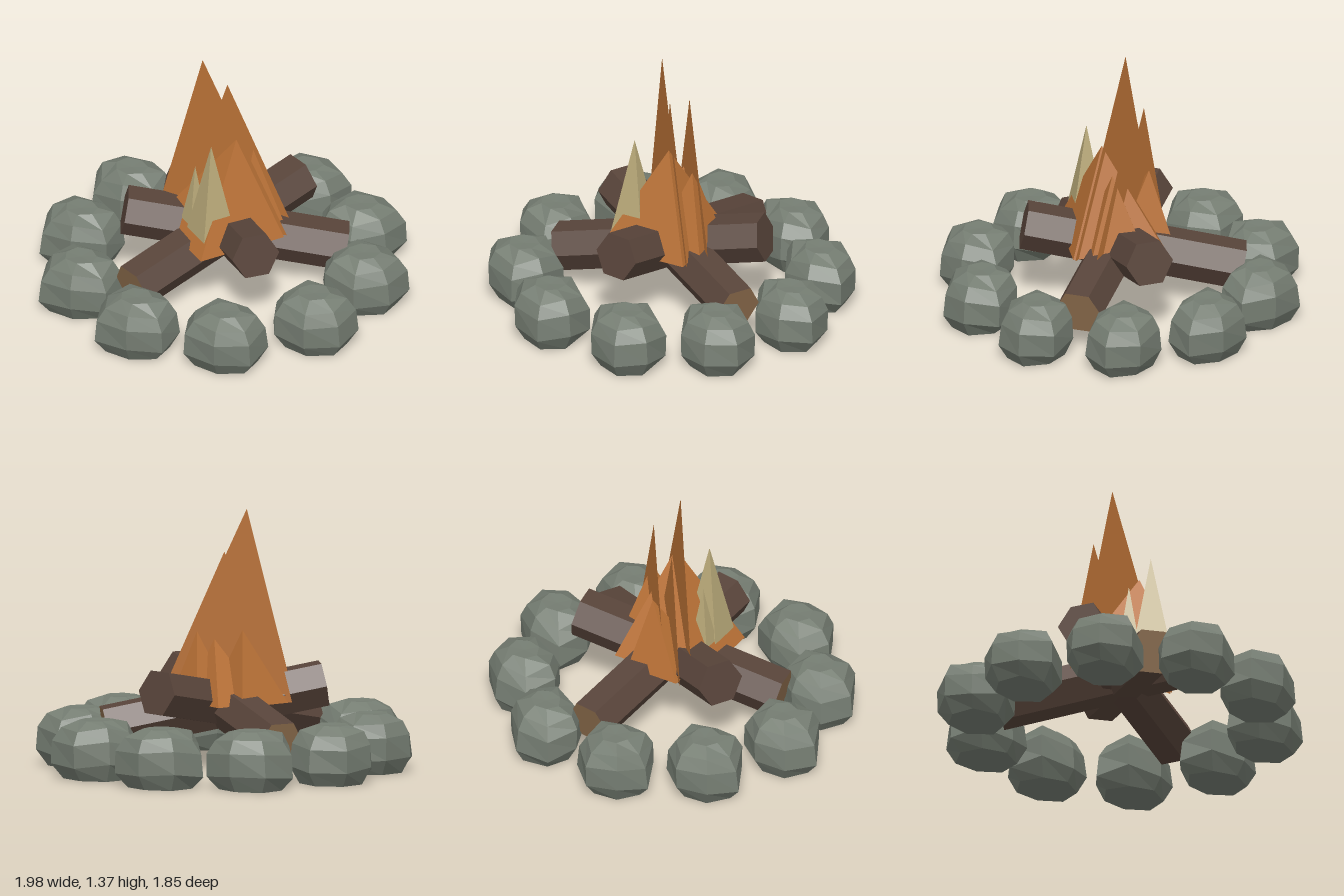
import * as THREE from 'three';

const material = (color) =>
  new THREE.MeshStandardMaterial({ color, flatShading: true, side: THREE.DoubleSide });

const stoneMat = material(0x757d72);
const barkMat = material(0x58443a);
const cutMat = material(0x8c6c4c);
const flameMat = material(0xb87035);
const paleMat = material(0xb8a878);

const FLAME_BASE = 0.36;

function named(geometry, mat, name) {
  const mesh = new THREE.Mesh(geometry, mat);
  mesh.name = name;
  return mesh;
}

// Rounded seven-sided stone with a flat underside and uneven rings
function stone(seed) {
  const profile = [[0, 0], [0.17, 0], [0.228, 0.08], [0.222, 0.2], [0.18, 0.27], [0.09, 0.31], [0, 0.305]];
  const geo = new THREE.LatheGeometry(profile.map(([r, y]) => new THREE.Vector2(r, y)), 7);
  const pos = geo.attributes.position;
  for (let i = 0; i < pos.count; i++) {
    const x = pos.getX(i), y = pos.getY(i), z = pos.getZ(i);
    const a = Math.atan2(z, x);
    const k = 1 + 0.05 * Math.sin(2 * a + seed + y * 9) + 0.03 * Math.cos(3 * a + seed * 2);
    const lift = y > 0.05 && y < 0.28 ? 0.02 * Math.sin(3 * a + seed) : 0;
    pos.setXYZ(i, x * k, y + lift, z * k * 0.87);
  }
  geo.computeVertexNormals();
  return named(geo, stoneMat, 'stone');
}

// Six-sided log from a low sawn end to a high dark end
function log(low, high) {
  const a = new THREE.Vector3(...low), b = new THREE.Vector3(...high);
  const dir = b.clone().sub(a);
  const geo = new THREE.CylinderGeometry(0.13, 0.13, dir.length(), 6);
  dir.normalize();
  const side = new THREE.Vector3(0, 1, 0).cross(dir).normalize();
  const mesh = named(geo, [barkMat, barkMat, cutMat], 'log');
  mesh.quaternion.setFromRotationMatrix(
    new THREE.Matrix4().makeBasis(dir.clone().cross(side), dir, side));
  mesh.position.copy(a).add(b).multiplyScalar(0.5);
  return mesh;
}

// Four-sided flame with its tip pushed off the centre of its base
function flame([cx, cz], radius, [tx, ty, tz], mat, name) {
  const h = ty - FLAME_BASE;
  const geo = new THREE.ConeGeometry(radius, h, 4, 1, true).translate(0, h / 2, 0);
  const pos = geo.attributes.position;
  for (let i = 0; i < pos.count; i++) {
    const t = pos.getY(i) / h;
    pos.setX(i, pos.getX(i) + (tx - cx) * t);
    pos.setZ(i, pos.getZ(i) + (tz - cz) * t);
  }
  geo.computeVertexNormals();
  const mesh = named(geo, mat, name);
  mesh.position.set(cx, FLAME_BASE, cz);
  return mesh;
}

// Flat upright flame tongue
function tongue(left, right, tipX, tipY, z) {
  const shape = new THREE.Shape([
    new THREE.Vector2(left, FLAME_BASE),
    new THREE.Vector2(right, FLAME_BASE),
    new THREE.Vector2(tipX, tipY),
  ]);
  const mesh = named(new THREE.ShapeGeometry(shape), flameMat, 'flameTongue');
  mesh.position.z = z;
  return mesh;
}

export function createModel() {
  const model = new THREE.Group();
  model.name = 'campfire';

  // Ring of stones
  const ring = new THREE.Group();
  ring.name = 'stoneRing';
  const spots = [
    [-0.24, -0.74], [0.24, -0.74], [0.62, -0.47], [0.77, -0.02], [0.63, 0.43],
    [0.23, 0.73], [-0.25, 0.73], [-0.64, 0.44], [-0.77, -0.01], [-0.63, -0.46],
  ];
  spots.forEach(([x, z], i) => {
    const s = stone(i * 0.35);
    s.position.set(x, 0, z);
    ring.add(s);
  });
  model.add(ring);

  // Three long logs crossing in the middle
  const logs = new THREE.Group();
  logs.name = 'logs';
  logs.add(
    log([-0.365, 0.21, -0.54], [0.3, 0.45, 0.39]),
    log([-0.34, 0.21, 0.51], [0.31, 0.45, -0.42]),
    log([0.62, 0.22, -0.18], [-0.49, 0.44, 0.14]));
  model.add(logs);

  // Flames
  const fire = new THREE.Group();
  fire.name = 'fire';
  fire.add(
    tongue(-0.355, 0.36, -0.1, 1.37, 0.02),
    tongue(-0.25, 0.35, 0, 1.16, -0.1),
    tongue(-0.35, 0.15, -0.175, 1.06, -0.045),
    flame([0, 0.04], 0.35, [0.09, 0.92, 0.04], flameMat, 'mainFlame'),
    flame([0.12, -0.06], 0.21, [0.15, 0.8, -0.07], flameMat, 'sideFlame'),
    flame([-0.12, -0.06], 0.21, [-0.1, 0.75, -0.13], flameMat, 'sideFlame'),
    flame([0, 0.2], 0.15, [0, 0.96, 0.2], paleMat, 'innerFlame'),
    flame([-0.11, 0.14], 0.09, [-0.105, 0.78, 0.14], paleMat, 'innerFlame'));
  model.add(fire);

  return model;
}
